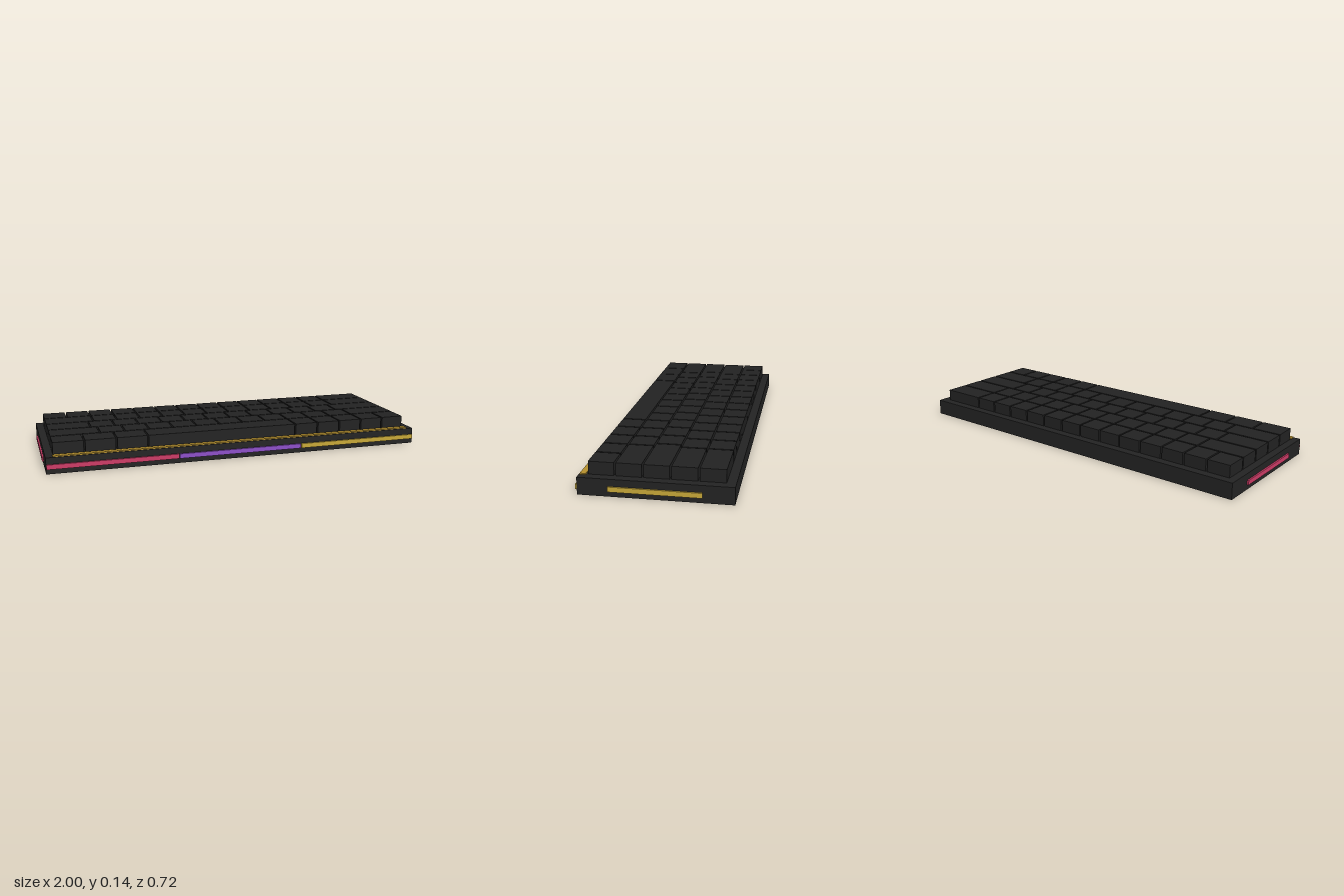
import * as THREE from 'three';

const mat = (name, color) => {
  const m = new THREE.MeshStandardMaterial({ color });
  m.name = name;
  return m;
};

export function createModel() {
  const charcoal = mat('charcoal case', 0x232323);
  const keyBlack = mat('key black', 0x222222);
  const pink = mat('pink glow', 0xcc3b66);
  const purple = mat('purple glow', 0x8d4fc8);
  const gold = mat('gold glow', 0xc8a838);
  const darkGold = mat('dark gold trim', 0xb5902e);

  const model = new THREE.Group();
  model.name = 'keyboard';

  // Box given by its minimum and maximum corners
  const box = (parent, name, material, [x0, y0, z0], [x1, y1, z1]) => {
    const mesh = new THREE.Mesh(new THREE.BoxGeometry(x1 - x0, y1 - y0, z1 - z0), material);
    mesh.position.set((x0 + x1) / 2, (y0 + y1) / 2, (z0 + z1) / 2);
    mesh.name = name;
    parent.add(mesh);
  };

  // Case
  const top = 0.083;
  box(model, 'case', charcoal, [-0.992, 0, -0.36], [0.992, top, 0.352]);

  // Keys: widths in units, from the back row to the front row
  const ones = (n) => Array(n).fill(1);
  const rows = [
    [...ones(13), 2],
    [2, ...ones(11), 2],
    [1.75, ...ones(11), 2.25],
    [2, ...ones(11), 2],
    [1.25, 1.25, 1.25, 6.25, ...ones(5)],
  ];
  const unit = 0.1272, gap = 0.0085;
  const keys = new THREE.Group();
  keys.name = 'keys';
  model.add(keys);
  rows.forEach((widths, r) => {
    const z = -0.317 + r * 0.127;
    let x = -0.953;
    for (const w of widths) {
      box(keys, 'key', keyBlack, [x, top, z], [x + w * unit - gap, 0.145, z + 0.1185]);
      x += w * unit;
    }
  });

  // Light bars along the front
  const low = 0.025, high = 0.049;
  [pink, purple, gold].forEach((m, i) => {
    const x = -0.992 + i * 0.6613;
    box(model, 'frontLightBar', m, [x + 0.002, low, 0.351], [x + 0.659, high, 0.36]);
  });

  // Light bars on the two sides
  box(model, 'rightLightBar', pink, [-1, low, -0.217], [-0.991, high, 0.21]);
  box(model, 'leftLightBar', gold, [0.991, low, -0.217], [1, high, 0.21]);

  // Trim strip on the front lip
  box(model, 'trimStrip', darkGold, [-0.957, top - 0.001, 0.319], [0.957, 0.089, 0.347]);

  return model;
}
